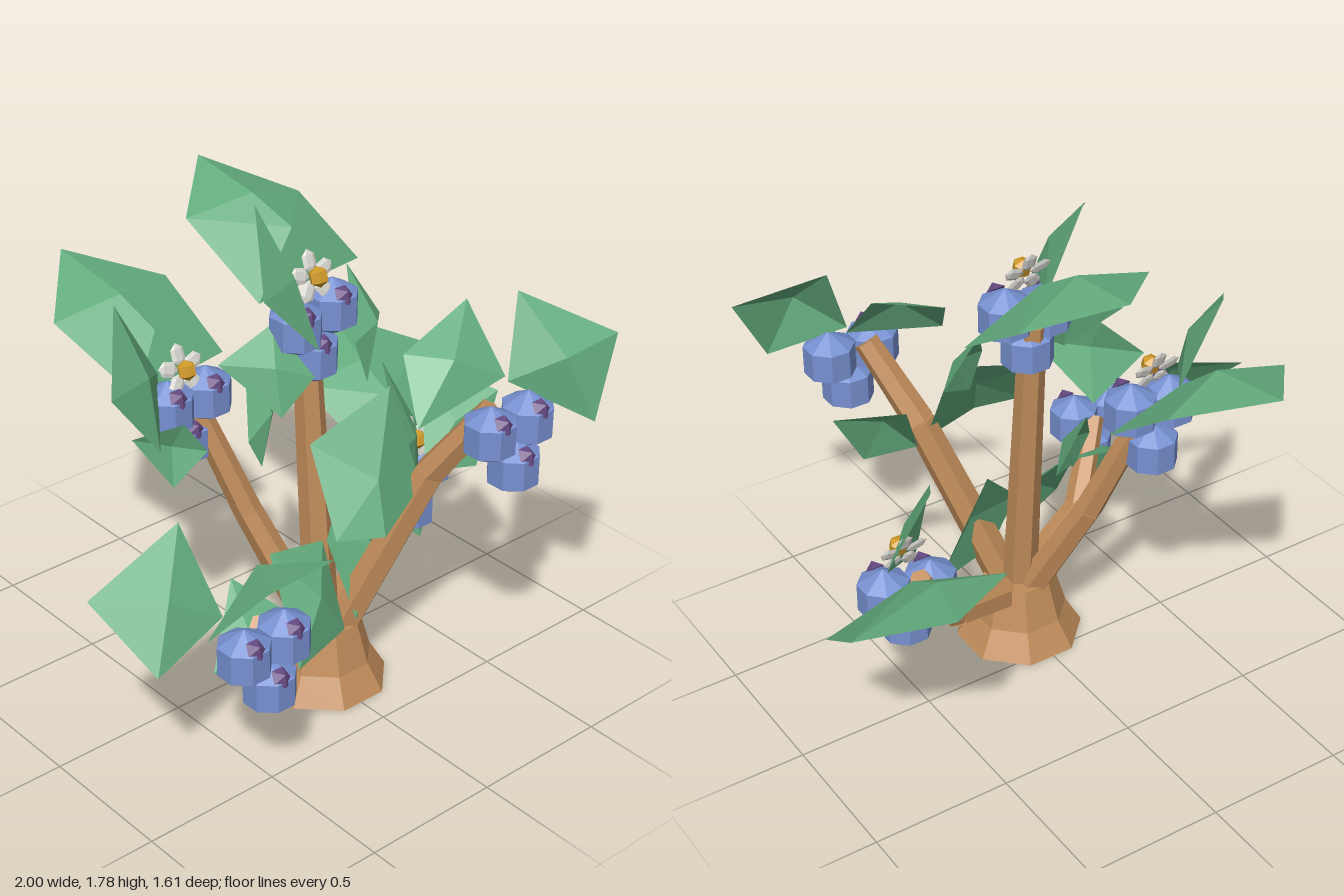
import * as THREE from 'three';

const mat = (name, color) => {
  const m = new THREE.MeshStandardMaterial({ color, flatShading: true });
  m.name = name;
  return m;
};

export function createModel() {
  const bark = mat('bark', 0xc08c5a);
  const leafGreen = mat('leafGreen', 0x64ad7e);
  leafGreen.side = THREE.DoubleSide;
  const berryBlue = mat('berryBlue', 0x7690d0);
  const calyxPurple = mat('calyxPurple', 0x664a82);
  const petalWhite = mat('petalWhite', 0xdad8d2);
  const pollenGold = mat('pollenGold', 0xd09a2a);

  const model = new THREE.Group();
  model.name = 'berryBush';
  const add = (parent, name, geo, material, x = 0, y = 0, z = 0) => {
    const mesh = new THREE.Mesh(geo, material);
    mesh.name = name;
    mesh.position.set(x, y, z);
    parent.add(mesh);
    return mesh;
  };

  // Flared octagonal trunk
  const profile = [[0, 0], [0.23, 0], [0.172, 0.1], [0.13, 0.25], [0, 0.25]];
  const trunk = add(model, 'trunk',
    new THREE.LatheGeometry(profile.map(p => new THREE.Vector2(...p)), 8), bark, 0.01, 0, 0.175);
  trunk.rotation.y = Math.PI / 8;

  // Branches: tapered hexagonal segments along a bent path
  const up = new THREE.Vector3(0, 1, 0);
  const branch = (name, points, r0, r1) => {
    const group = new THREE.Group();
    group.name = name;
    model.add(group);
    const n = points.length - 1;
    for (let i = 0; i < n; i++) {
      const a = new THREE.Vector3(...points[i]), b = new THREE.Vector3(...points[i + 1]);
      const d = b.clone().sub(a);
      const rad = t => r0 + (r1 - r0) * t / n;
      const seg = add(group, 'branchSegment',
        new THREE.CylinderGeometry(rad(i + 1), rad(i), d.length(), 6), bark);
      seg.position.copy(a).add(b).multiplyScalar(0.5);
      seg.quaternion.setFromUnitVectors(up, d.normalize());
    }
  };
  branch('centreBranch', [[0.015, 0.2, 0.16], [0.015, 1.35, 0.065]], 0.063, 0.047);
  branch('frontBranch', [[0.03, 0.18, 0.21], [0.25, 0.85, 0.43], [0.35, 1.12, 0.6]], 0.065, 0.045);
  branch('rightLowBranch', [[0, 0.19, 0.18], [-0.33, 0.32, 0.3], [-0.5, 0.58, 0.45]], 0.06, 0.04);
  branch('leftLowBranch', [[0.04, 0.19, 0.16], [0.36, 0.31, 0.03], [0.54, 0.58, -0.04]], 0.06, 0.04);
  branch('backBranch', [[0, 0.2, 0.13], [-0.13, 0.62, -0.06], [-0.27, 1.1, -0.22]], 0.06, 0.04);

  // Berry: faceted ball with a flat calyx on its upper front
  const berryGeo = new THREE.SphereGeometry(0.104, 8, 3);
  berryGeo.rotateY(Math.PI / 8);
  const calyxGeo = new THREE.ConeGeometry(0.038, 0.03, 5);
  const berry = (x, y, z) => {
    add(model, 'berry', berryGeo, berryBlue, x, y, z);
    const c = add(model, 'berryCalyx', calyxGeo, calyxPurple, x - 0.005, y + 0.072, z + 0.074);
    c.rotation.x = 0.8;
  };
  [
    [-0.62, 0.545, 0.51], [-0.455, 0.55, 0.51], [-0.525, 0.4, 0.52],
    [0.297, 1.07, 0.65], [0.468, 1.07, 0.65], [0.393, 0.93, 0.67],
    [-0.055, 1.36, 0.1], [0.1, 1.39, 0.1], [0.015, 1.24, 0.1],
    [-0.36, 1.05, -0.19], [-0.21, 1.06, -0.18], [-0.28, 0.9, -0.21],
    [0.475, 0.51, 0], [0.655, 0.545, 0], [0.57, 0.4, 0.01],
  ].forEach(p => berry(...p));

  // Flower: gold centre and five blunt petals, leaning back
  const petalGeo = new THREE.SphereGeometry(1, 6, 3);
  petalGeo.scale(0.03, 0.04, 0.008);
  petalGeo.translate(0, 0.053, 0);
  const flower = (x, y, z) => {
    const group = new THREE.Group();
    group.name = 'flower';
    group.position.set(x, y, z);
    group.rotation.x = -0.35;
    model.add(group);
    add(group, 'flowerCentre', new THREE.SphereGeometry(0.036, 6, 3), pollenGold);
    for (let i = 0; i < 5; i++) {
      const petal = add(group, 'petal', petalGeo, petalWhite, 0, 0, -0.03);
      petal.rotation.z = i * Math.PI * 2 / 5;
    }
  };

  const leafMesh = (name, triangles) => {
    const geo = new THREE.BufferGeometry();
    geo.setAttribute('position', new THREE.Float32BufferAttribute(triangles.flat(2), 3));
    geo.computeVertexNormals();
    add(model, name, geo, leafGreen);
  };

  // Small leaf: outline corners fanned around a raised middle
  const leaf = (name, corners, lift = 0.055) => {
    const pts = corners.map(c => new THREE.Vector3(...c));
    const mid = new THREE.Vector3();
    pts.forEach(p => mid.addScaledVector(p, 1 / pts.length));
    const normal = pts[1].clone().sub(pts[0]).cross(pts[2].clone().sub(pts[0])).normalize();
    if (normal.y < 0) normal.negate();
    mid.addScaledVector(normal, lift);
    leafMesh(name, corners.map((c, i) => [mid.toArray(), c, corners[(i + 1) % corners.length]]));
  };

  // Broad leaf: tip, then a middle row and a base row, both folded along the rib
  const broadLeaf = (tip, [l1, m1, r1], [l0, m0, r0]) => leafMesh('backLeaf', [
    [tip, l1, m1], [tip, m1, r1],
    [l1, l0, m0], [l1, m0, m1], [m1, m0, r1], [r1, m0, r0],
    [l0, r0, m0],
  ]);

  // Flowering clusters: broad back leaf and upright leaf
  flower(0.015, 1.53, 0.13);
  broadLeaf([0.055, 1.73, -0.53],
    [[-0.19, 1.65, -0.29], [0.05, 1.69, -0.24], [0.31, 1.6, -0.31]],
    [[-0.1, 1.41, -0.03], [0.1, 1.6, -0.1], [0.35, 1.43, -0.05]]);
  leaf('uprightLeaf', [[-0.14, 1.78, 0], [-0.33, 1.6, 0.27], [-0.12, 1.37, 0.29], [0, 1.47, 0.01]], 0.05);

  flower(-0.31, 1.19, -0.15);
  broadLeaf([-0.33, 1.4, -0.81],
    [[-0.565, 1.3, -0.53], [-0.32, 1.345, -0.49], [-0.06, 1.3, -0.58]],
    [[-0.42, 1.07, -0.28], [-0.27, 1.24, -0.37], [-0.03, 1.1, -0.31]]);
  leaf('uprightLeaf', [[-0.5, 1.44, -0.28], [-0.71, 1.27, -0.02], [-0.54, 1.03, 0], [-0.34, 1.14, -0.27]], 0.05);

  flower(0.57, 0.685, 0.04);
  broadLeaf([0.74, 0.88, -0.62],
    [[0.41, 0.78, -0.39], [0.65, 0.82, -0.35], [0.995, 0.765, -0.4]],
    [[0.5, 0.54, -0.1], [0.66, 0.73, -0.2], [0.94, 0.56, -0.12]]);
  leaf('uprightLeaf', [[0.52, 0.96, -0.1], [0.36, 0.77, 0.18], [0.42, 0.5, 0.19], [0.66, 0.66, -0.04]], 0.04);

  // Hanging leaves under the flowering clusters
  leaf('hangingLeaf', [[0.28, 1.44, -0.03], [0.16, 1.25, 0.15], [0.2, 1.1, 0.17], [0.39, 1.24, 0.02]]);
  leaf('hangingLeaf', [[-0.34, 1.3, 0.05], [-0.12, 1.38, 0.06], [-0.06, 1.22, 0.2], [-0.2, 1.12, 0.2]], 0.04);
  leaf('hangingLeaf', [[0, 1.14, -0.23], [-0.15, 0.91, -0.03], [-0.1, 0.8, -0.02], [0.08, 0.9, -0.17]]);
  leaf('hangingLeaf', [[-0.55, 1.02, -0.14], [-0.38, 1.04, -0.08], [-0.3, 0.92, -0.06], [-0.43, 0.82, -0.08]], 0.03);
  leaf('hangingLeaf', [[0.62, 0.6, -0.12], [0.37, 0.48, 0.02], [0.57, 0.29, 0.07], [0.75, 0.42, -0.04]], 0.04);

  // Leaves of the two clusters without flowers
  leaf('rightLowLeaf', [[-1, 0.765, 0.21], [-0.63, 0.9, 0.2], [-0.6, 0.62, 0.38], [-0.9, 0.545, 0.43]]);
  leaf('rightLowLeaf', [[-0.8, 0.7, 0.55], [-0.6, 0.9, 0.55], [-0.36, 0.86, 0.64], [-0.48, 0.66, 0.42]], 0.04);
  leaf('rightLowLeaf', [[-0.42, 0.6, 0.2], [-0.31, 0.5, 0.36], [-0.5, 0.3, 0.44], [-0.64, 0.42, 0.38]]);
  leaf('frontLeaf', [[0.52, 1.47, 0.53], [0.77, 1.32, 0.75], [0.63, 1.06, 0.8], [0.42, 1.2, 0.6]], 0.08);
  leaf('frontLeaf', [[0.16, 1.3, 0.38], [0.44, 1.41, 0.38], [0.44, 1.2, 0.57], [0.08, 1.12, 0.54]]);
  leaf('frontLeaf', [[0.45, 1.1, 0.16], [0.61, 1.01, 0.38], [0.48, 0.78, 0.42], [0.3, 0.8, 0.36]]);

  // Leaves around the middle of the plant
  leaf('centreLeaf', [[-0.14, 1.03, 0.27], [0.2, 1.13, 0.28], [0.24, 0.79, 0.4], [-0.03, 0.75, 0.52], [-0.19, 0.77, 0.46]]);
  leaf('centreLowLeaf', [[-0.27, 0.64, 0.22], [-0.02, 0.58, 0.2], [-0.03, 0.29, 0.33], [-0.33, 0.32, 0.44]]);
  leaf('centreLowLeaf', [[0.18, 0.77, 0.1], [0.35, 0.34, 0.17], [0.04, 0.29, 0.31], [0, 0.57, 0.2]]);

  return model;
}
